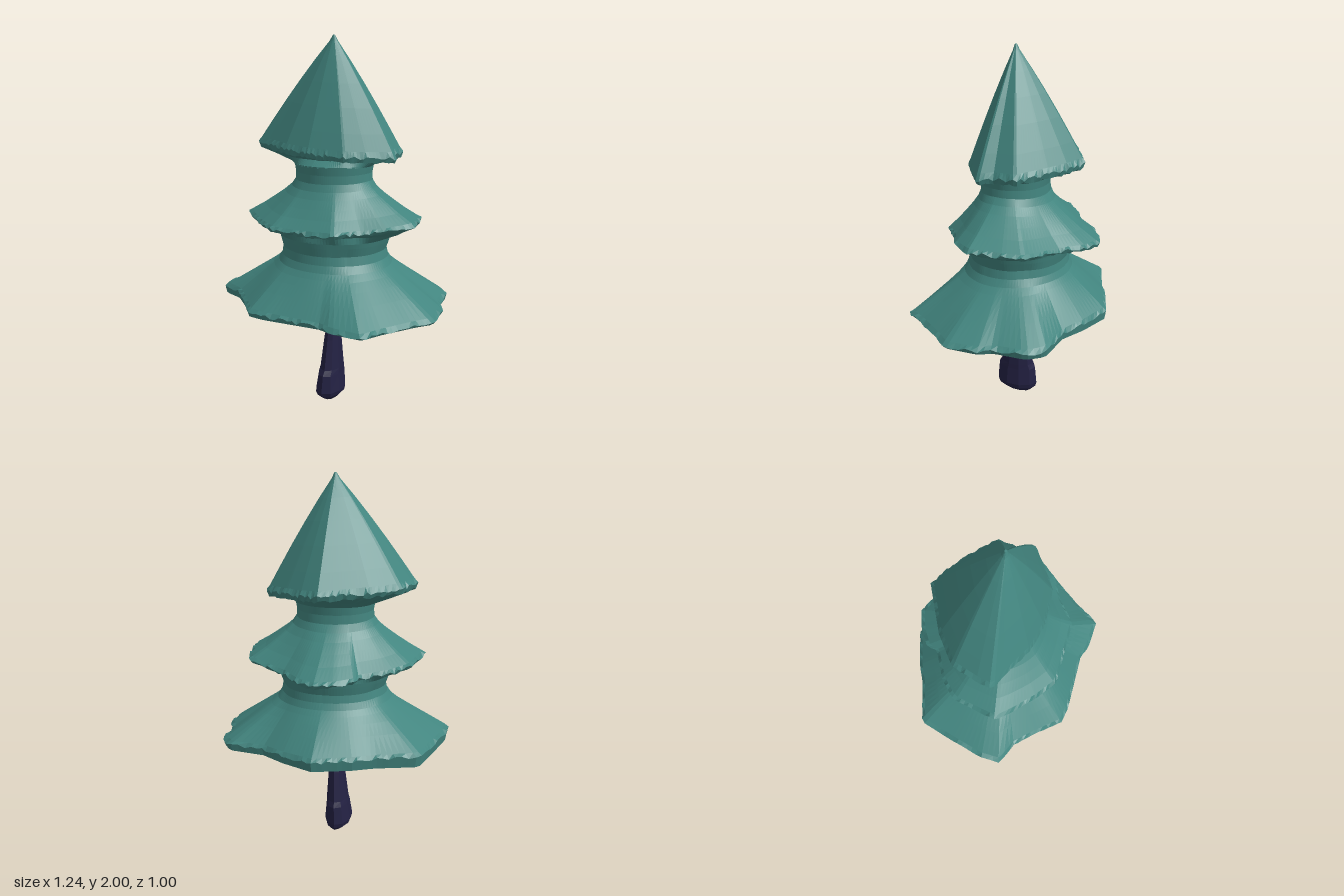
import * as THREE from 'three';

const N = 120;
const angle = (i) => (i / N) * Math.PI * 2;

// Seeded jitter for the ragged rims
function seeded(seed) {
  return () => {
    seed = (seed * 16807) % 2147483647;
    return seed / 2147483647 - 0.5;
  };
}

// Samples a closed outline of [x, z] corners by angle around the origin
function sampleOutline(corners) {
  const points = [];
  for (let i = 0; i < N; i++) {
    const dx = Math.sin(angle(i)), dz = Math.cos(angle(i));
    let best = 0;
    corners.forEach(([ax, az], k) => {
      const [bx, bz] = corners[(k + 1) % corners.length];
      const ex = bx - ax, ez = bz - az;
      const det = dx * ez - dz * ex;
      if (Math.abs(det) < 1e-9) return;
      const r = (ax * ez - az * ex) / det;
      const s = (ax * dz - az * dx) / det;
      if (s >= -1e-6 && s <= 1 + 1e-6 && r > best) best = r;
    });
    points.push([dx * best, dz * best]);
  }
  return points;
}

function ellipse(rx, zFront, zBack, cx = 0, n = N) {
  const cz = (zFront + zBack) / 2, rz = (zFront - zBack) / 2;
  return Array.from({ length: n }, (_, i) => {
    const a = (i / n) * Math.PI * 2;
    return [cx + Math.sin(a) * rx, cz + Math.cos(a) * rz];
  });
}

// Skins rings of [x, y, z] listed from top to bottom, closing both ends
function loft(rings) {
  const n = rings[0].length, pos = [], index = [];
  rings.forEach((ring) => ring.forEach((p) => pos.push(...p)));
  for (let r = 0; r < rings.length - 1; r++) {
    for (let i = 0; i < n; i++) {
      const j = (i + 1) % n, a = r * n + i, b = r * n + j;
      index.push(a, a + n, b, b, a + n, b + n);
    }
  }
  [0, rings.length - 1].forEach((r) => {
    const c = pos.length / 3, mid = [0, 0, 0];
    rings[r].forEach((p) => p.forEach((v, k) => (mid[k] += v / n)));
    pos.push(...mid);
    for (let i = 0; i < n; i++) {
      const a = r * n + i, b = r * n + ((i + 1) % n);
      if (r === 0) index.push(c, a, b);
      else index.push(c, b, a);
    }
  });
  const g = new THREE.BufferGeometry();
  g.setAttribute('position', new THREE.Float32BufferAttribute(pos, 3));
  g.setIndex(index);
  const flat = g.toNonIndexed();
  flat.computeVertexNormals();
  return flat;
}

// One bough tier: neck flares along the profile to a ragged rim, then turns under
function tierGeometry({ neck, rim, profile, top, rimY, under, seed }) {
  const edge = sampleOutline(rim).map(([x, z]) => [x, rimY(x, z), z]);
  const rand = seeded(seed);
  const rings = profile.map(([t, h]) => edge.map(([x, y, z], i) => [
    neck[i][0] + (x - neck[i][0]) * t,
    top + (y - top) * h + (t === 1 ? rand() * 0.02 : 0),
    neck[i][1] + (z - neck[i][1]) * t,
  ]));
  under.forEach(({ ring, scale, y, drop }) => {
    rings.push(edge.map(([x, ey, z], i) => {
      if (ring) return [ring[i][0], y, ring[i][1]];
      return [x * scale, drop === undefined ? y : ey - drop + rand() * 0.012, z * scale];
    }));
  });
  return loft(rings);
}

export function createModel() {
  const group = new THREE.Group();
  const foliage = new THREE.MeshStandardMaterial({ color: 0x42857f, flatShading: true });
  foliage.name = 'teal foliage';
  const bark = new THREE.MeshStandardMaterial({ color: 0x232143, flatShading: true });
  bark.name = 'dark bark';

  const add = (name, geometry, material) => {
    const mesh = new THREE.Mesh(geometry, material);
    mesh.name = name;
    group.add(mesh);
  };

  const upperNeck = ellipse(0.215, 0.205, -0.165);
  const lowerNeck = ellipse(0.305, 0.29, -0.28);

  // Pointed crown
  add('topTier', tierGeometry({
    neck: ellipse(0.006, 0.026, 0.014), top: 2, seed: 11,
    rim: [[0, -0.36], [-0.12, -0.3], [-0.24, -0.24], [-0.38, -0.13], [-0.42, 0], [-0.435, 0.08],
      [-0.35, 0.12], [-0.2, 0.2], [-0.05, 0.235], [0.15, 0.225], [0.25, 0.16], [0.375, 0.07],
      [0.33, 0], [0.34, -0.12], [0.2, -0.24], [0.1, -0.31]],
    profile: [[0, 0], [0.04, 0.05], [0.22, 0.21], [0.42, 0.4], [0.62, 0.6], [0.82, 0.81], [0.95, 0.95], [1, 1]],
    rimY: (x, z) => 1.42 - 0.06 * x - 0.03 * z,
    under: [{ scale: 0.97, drop: 0.025 }, { scale: 0.72, y: 1.375 }, { ring: upperNeck, y: 1.34 }],
  }), foliage);

  // Middle boughs
  add('middleTier', tierGeometry({
    neck: upperNeck, top: 1.345, seed: 23,
    rim: [[0, -0.455], [-0.1, -0.42], [-0.19, -0.36], [-0.2, -0.3], [-0.35, -0.22], [-0.44, -0.13],
      [-0.485, 0.11], [-0.42, 0.18], [-0.31, 0.28], [-0.2, 0.36], [0.15, 0.36], [0.27, 0.26],
      [0.38, 0.2], [0.48, 0.08], [0.45, -0.1], [0.42, -0.2], [0.2, -0.31], [0.1, -0.41]],
    profile: [[0, 0], [-0.03, 0.14], [-0.02, 0.28], [0.07, 0.4], [0.22, 0.52], [0.43, 0.66], [0.65, 0.8], [0.92, 0.95], [1, 1]],
    rimY: (x, z) => 1.02 + 0.16 * x * x + 0.02 * z,
    under: [{ scale: 0.97, drop: 0.015 }, { scale: 0.8, y: 1 }, { ring: lowerNeck, y: 0.965 }],
  }), foliage);

  // Wide bottom boughs with a flat underside
  add('bottomTier', tierGeometry({
    neck: lowerNeck, top: 0.97, seed: 37,
    rim: [[0, -0.505], [0.17, -0.44], [0.3, -0.37], [0.5, -0.35], [0.56, -0.27], [0.57, -0.1],
      [0.61, -0.03], [0.62, 0.15], [0.55, 0.23], [0.43, 0.4], [0.375, 0.5], [0.2, 0.49],
      [0.13, 0.46], [-0.2, 0.465], [-0.29, 0.45], [-0.4, 0.32], [-0.5, 0.22], [-0.62, 0.17],
      [-0.62, 0.06], [-0.58, -0.1], [-0.52, -0.32], [-0.3, -0.39], [-0.2, -0.44]],
    profile: [[0, 0], [-0.03, 0.08], [-0.08, 0.2], [-0.05, 0.32], [0.03, 0.42], [0.15, 0.5], [0.32, 0.6], [0.56, 0.74], [0.92, 0.95], [1, 1]],
    rimY: (x, z) => 0.612 - 0.025 * x - 0.035 * z,
    under: [{ scale: 0.985, y: 0.579 }, { scale: 0.5, y: 0.578 }],
  }), foliage);

  // Trunk: [y, left x, right x, front z, back z], narrowing towards the boughs
  const trunk = [
    [0.6, -0.014, 0.01, 0.035, 0], [0.51, -0.016, 0.016, 0.055, -0.02], [0.495, -0.022, 0.02, 0.082, -0.034],
    [0.36, -0.053, 0.035, 0.09, -0.052], [0.19, -0.074, 0.046, 0.117, -0.078],
    [0.16, -0.08, 0.047, 0.135, -0.09], [0.06, -0.096, 0.056, 0.146, -0.098],
    [0.035, -0.088, 0.05, 0.135, -0.092], [0.005, -0.045, 0.02, 0.09, -0.06],
  ].map(([y, l, r, f, b]) => ellipse((r - l) / 2, f, b, (l + r) / 2, 10).map(([x, z]) => [x, y, z]));
  add('trunk', loft(trunk), bark);

  return group;
}
